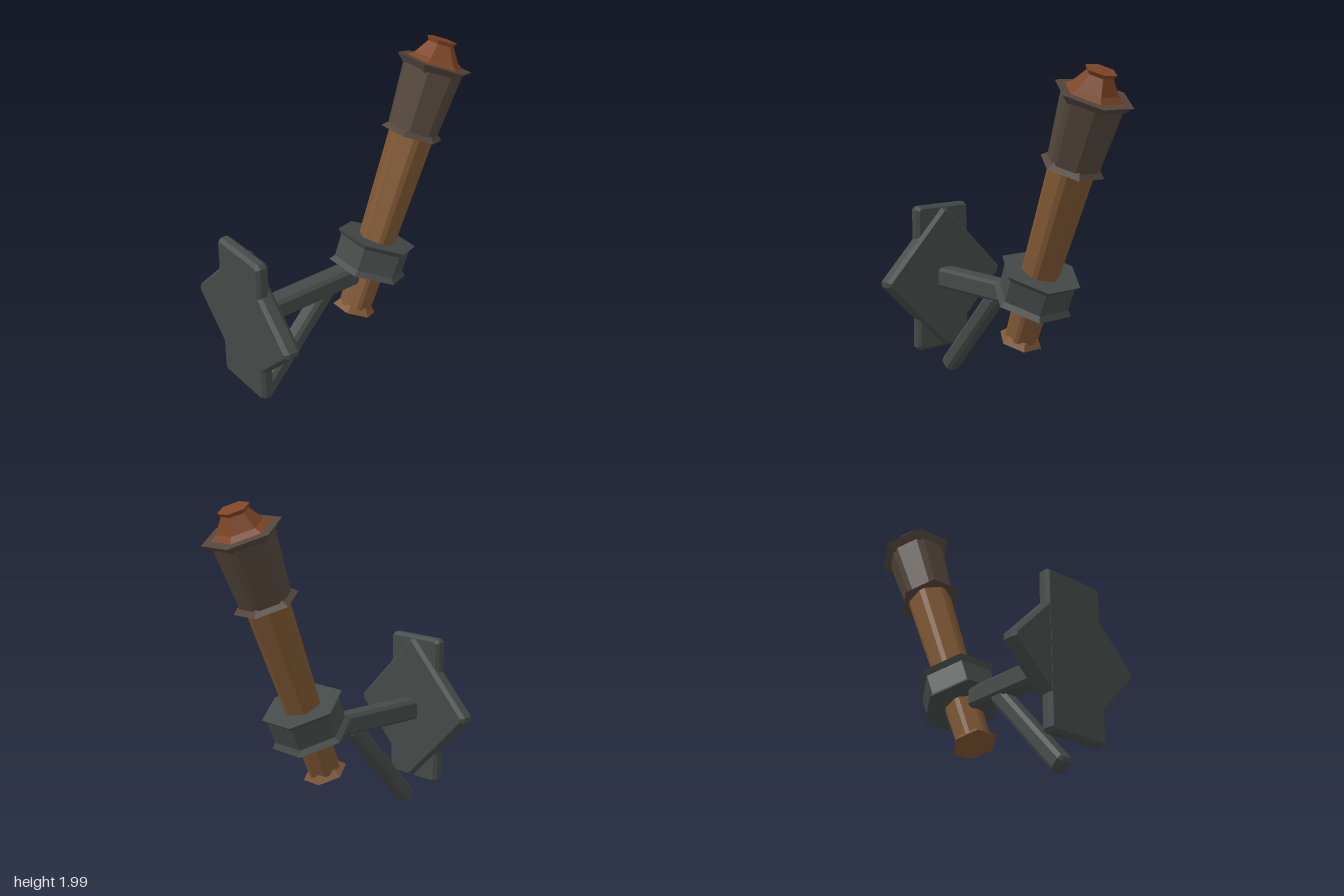
import * as THREE from 'three';

const mat = (color) => new THREE.MeshStandardMaterial({ color, flatShading: true });

export function createModel() {
  const model = new THREE.Group();
  const steel = mat(0x444a48);
  const wood = mat(0x7d5632);
  const bark = mat(0x52453b);
  const ember = mat(0x7d4526);

  const add = (parent, name, geometry, material) => {
    const mesh = new THREE.Mesh(geometry, material);
    mesh.name = name;
    parent.add(mesh);
    return mesh;
  };

  // Box with every edge chamfered by c
  const chamferBox = (w, h, d, c) => {
    const x = w / 2, y = h / 2;
    const outline = [
      [x, c - y], [x, y - c], [x - c, y], [c - x, y],
      [-x, y - c], [-x, c - y], [c - x, -y], [x - c, -y],
    ].map(([a, b]) => new THREE.Vector2(a, b));
    return new THREE.ExtrudeGeometry(new THREE.Shape(outline), {
      depth: d - 2 * c, bevelEnabled: true, bevelThickness: c,
      bevelSize: c * 0.8, bevelOffset: -c * 0.8, bevelSegments: 1,
    }).translate(0, 0, c - d / 2);
  };

  // Six-sided turned solid from [radius, height] pairs
  const hexTurn = (profile, start = Math.PI / 2) =>
    new THREE.LatheGeometry(profile.map(([r, t]) => new THREE.Vector2(r, t)), 6, start);

  // Same, with the six long edges cut to narrow facets
  const cutHexTurn = (profile, start, cut = 0.13) => {
    const n = profile.length;
    const g = hexTurn(profile, start);
    const geo = new THREE.LatheGeometry(profile.map(([r, t]) => new THREE.Vector2(r, t)), 12);
    g.dispose();
    const p = geo.attributes.position;
    for (let i = 0; i <= 12; i++) {
      const a = start + Math.floor(i / 2) * Math.PI / 3 + (i % 2 ? cut : -cut);
      profile.forEach(([r, t], j) => p.setXYZ(i * n + j, r * Math.sin(a), t, r * Math.cos(a)));
    }
    geo.computeVertexNormals();
    return geo;
  };

  // Wall plate: upright slab with a turned square over it
  const plate = new THREE.Group();
  plate.name = 'wallPlate';
  model.add(plate);
  add(plate, 'plateSlab', chamferBox(0.41, 0.94, 0.08, 0.022), steel).position.set(0, 0.62, 0.776);
  const diamond = add(plate, 'plateDiamond', chamferBox(0.66, 0.66, 0.105, 0.024), steel);
  diamond.position.set(0, 0.62, 0.762);
  diamond.rotation.z = Math.PI / 4;

  // Arm and diagonal brace
  add(model, 'arm', chamferBox(0.13, 0.13, 0.76, 0.02), steel).position.set(0, 0.62, 0.36);
  const brace = add(model, 'brace', chamferBox(0.105, 0.75, 0.1, 0.022), steel);
  brace.position.set(0, 0.312, 0.44);
  brace.rotation.x = -0.726;

  // Leaning torch, built upright along its own axis
  const torch = new THREE.Group();
  torch.name = 'torch';
  torch.position.set(0, 0.345, -0.02);
  torch.rotation.x = -THREE.MathUtils.degToRad(22);
  model.add(torch);

  add(torch, 'handle', cutHexTurn([[0, 0.01], [0.1, 0.01], [0.138, 1.2], [0, 1.2]], 0), wood);
  add(torch, 'handleFoot', hexTurn([[0, 0], [0.137, 0], [0.1, 0.04], [0, 0.04]]), wood);
  add(torch, 'collar', hexTurn([
    [0, 0.281], [0.25, 0.281], [0.222, 0.312], [0.225, 0.452], [0.252, 0.483], [0, 0.483],
  ]), steel);
  add(torch, 'cup', cutHexTurn([[0, 1.18], [0.153, 1.18], [0.184, 1.6], [0, 1.6]], Math.PI / 2), bark);
  add(torch, 'cupLowerLip', hexTurn([[0, 1.168], [0.195, 1.172], [0.15, 1.21], [0, 1.21]]), bark);
  add(torch, 'cupUpperLip', hexTurn([[0, 1.56], [0.18, 1.56], [0.235, 1.614], [0, 1.614]]), bark);
  add(torch, 'cap', hexTurn([
    [0, 1.61], [0.175, 1.618], [0.138, 1.645], [0.08, 1.73], [0.094, 1.754], [0, 1.754],
  ]), ember);

  return model;
}
